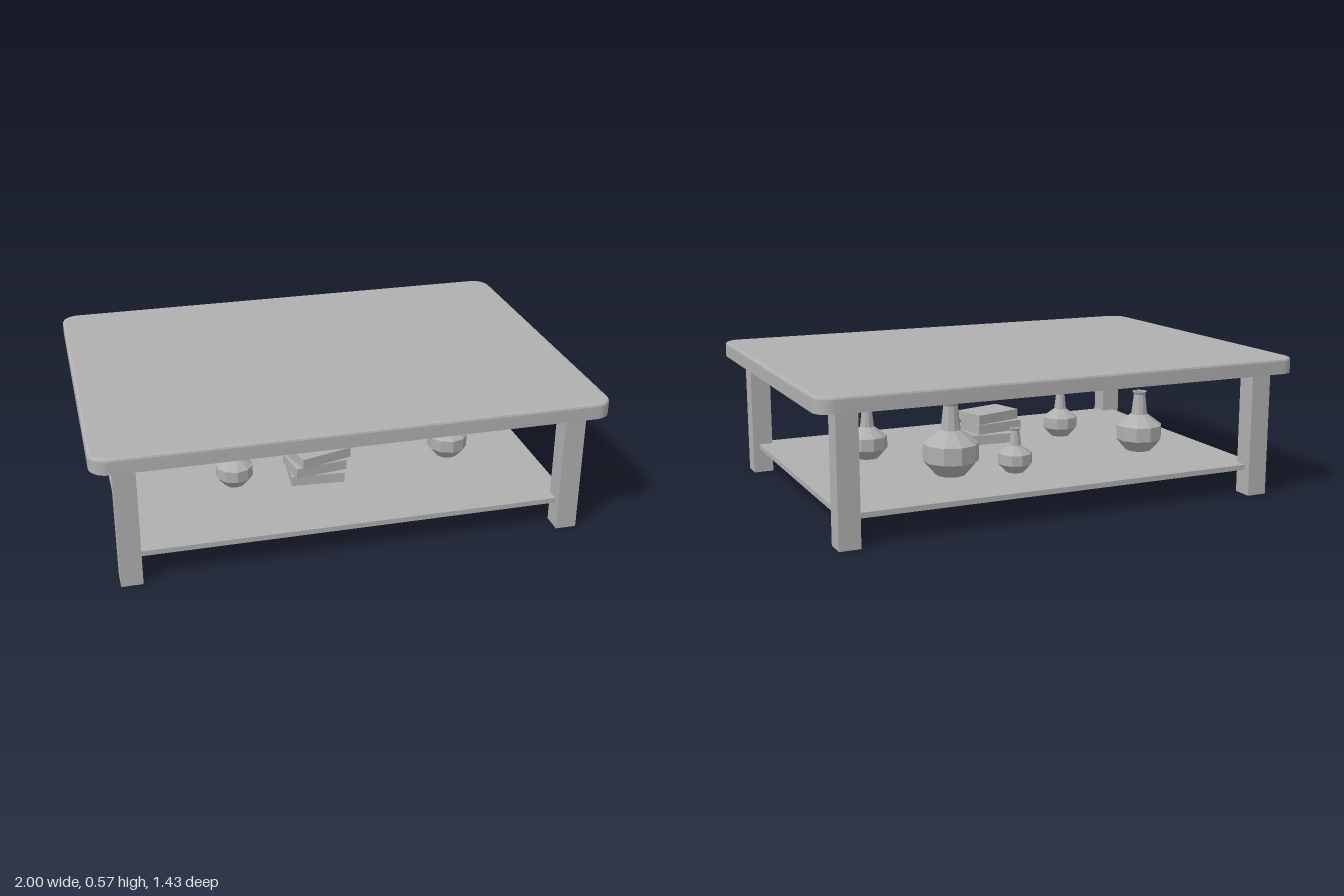
import * as THREE from 'three';
import { toCreasedNormals } from 'three/addons/utils/BufferGeometryUtils.js';

const SHELF_TOP = 0.125;

// Outline of a rounded rectangle, counter-clockwise from above
function roundedOutline(hx, hz, r, inset, segments = 8) {
  const points = [];
  const corners = [[1, 1], [-1, 1], [-1, -1], [1, -1]];
  corners.forEach(([sx, sz], c) => {
    for (let i = 0; i <= segments; i++) {
      const a = (c + i / segments) * Math.PI / 2;
      points.push([
        sx * (hx - r) + Math.cos(a) * (r - inset),
        -(sz * (hz - r) + Math.sin(a) * (r - inset)),
      ]);
    }
  });
  return points;
}

// Slab with straight sides, flat underside and a softened upper edge
function slabGeometry() {
  const sections = [[0, 0.511], [0, 0.563], [0.003, 0.57], [0.01, 0.573]];
  const rings = sections.map(([inset, y]) =>
    roundedOutline(1, 0.713, 0.07, inset).map(([x, z]) => [x, y, z]));
  const n = rings[0].length;
  const out = [];
  const tri = (a, b, c) => out.push(...a, ...b, ...c);
  for (let i = 0; i < n; i++) {
    const j = (i + 1) % n;
    for (let k = 0; k < rings.length - 1; k++) {
      const lo = rings[k], hi = rings[k + 1];
      tri(lo[i], lo[j], hi[j]);
      tri(lo[i], hi[j], hi[i]);
    }
    const top = rings[rings.length - 1], bottom = rings[0];
    tri([0, 0.573, 0], top[i], top[j]);
    tri([0, 0.511, 0], bottom[j], bottom[i]);
  }
  const geo = new THREE.BufferGeometry();
  geo.setAttribute('position', new THREE.Float32BufferAttribute(out, 3));
  return toCreasedNormals(geo, 0.35);
}

// Faceted ten-sided bottle vase with a hollow neck
function vaseGeometry() {
  const profile = [
    [0, 0], [0.062, 0], [0.113, 0.058], [0.113, 0.128], [0.04, 0.182],
    [0.029, 0.28], [0.036, 0.295], [0.026, 0.295], [0.024, 0.24], [0, 0.24],
  ].map(([r, y]) => new THREE.Vector2(r, y));
  const geo = new THREE.LatheGeometry(profile, 10).toNonIndexed();
  geo.computeVertexNormals();
  return geo;
}

export function createModel() {
  const model = new THREE.Group();
  model.name = 'coffeeTable';
  const grey = new THREE.MeshStandardMaterial({ color: 0xb0b0b0 });
  grey.name = 'grey';

  const add = (name, geometry, x = 0, y = 0, z = 0) => {
    const mesh = new THREE.Mesh(geometry, grey);
    mesh.name = name;
    mesh.position.set(x, y, z);
    model.add(mesh);
    return mesh;
  };

  add('tableTop', slabGeometry());
  add('shelf', new THREE.BoxGeometry(1.78, 0.021, 1.24), 0, SHELF_TOP - 0.0105, 0);

  // Legs
  const leg = new THREE.BoxGeometry(0.084, 0.511, 0.084);
  for (const sx of [1, -1]) {
    for (const sz of [1, -1]) {
      const name = (sz > 0 ? 'front' : 'back') + (sx > 0 ? 'Left' : 'Right') + 'Leg';
      add(name, leg, sx * 0.875, 0.2555, sz * 0.608);
    }
  }

  // Vases: x, z, scale
  const vase = vaseGeometry();
  [
    [-0.575, -0.203, 0.865],
    [-0.395, 0.185, 0.67],
    [0.07, -0.32, 0.605],
    [0.32, -0.25, 1],
    [0.535, 0.145, 0.735],
  ].forEach(([x, z, s], i) => {
    add('vase' + (i + 1), vase, x, SHELF_TOP, z).scale.setScalar(s);
  });

  // Stack of books: x, base height, z, turn in degrees
  const book = new THREE.BoxGeometry(0.22, 0.042, 0.15);
  [
    [-0.06, 0.128, 0.208, -4],
    [-0.064, 0.177, 0.215, 9],
    [-0.05, 0.223, 0.215, 16],
  ].forEach(([x, y, z, turn], i) => {
    add('book' + (i + 1), book, x, y + 0.021, z).rotation.y = THREE.MathUtils.degToRad(turn);
  });

  return model;
}
